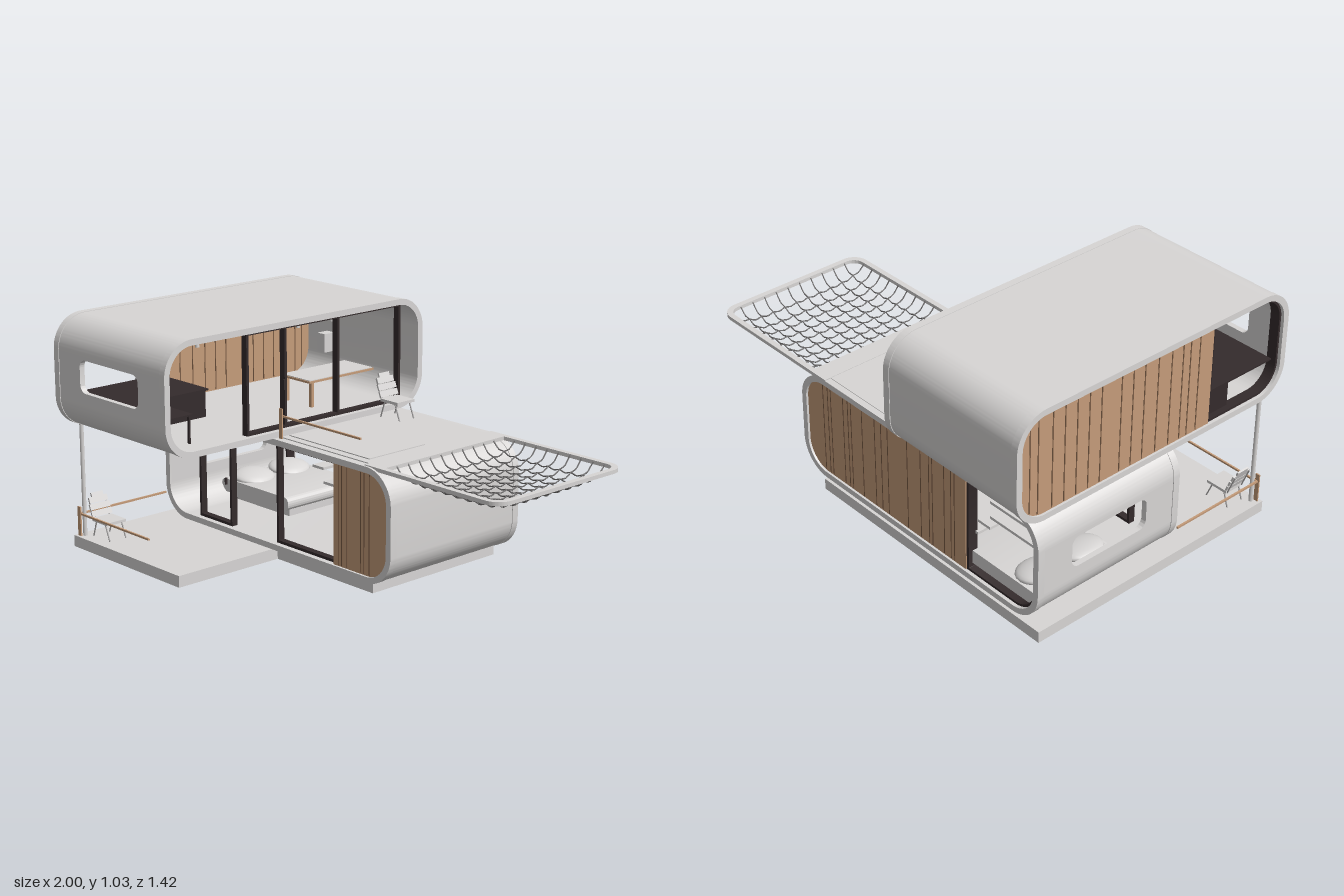
import * as THREE from 'three';
import { toCreasedNormals } from 'three/addons/utils/BufferGeometryUtils.js';

const mat = (name, color, side = THREE.FrontSide) => {
  const m = new THREE.MeshStandardMaterial({ color, side });
  m.name = name;
  return m;
};

export function createModel() {
  const grey = mat('light grey shell', 0xd8d6d5);
  const dark = mat('dark frame', 0x342b2c);
  const wood = mat('timber', 0xc59c7a);
  const groove = mat('timber groove', 0x7a5c45);
  const netGrey = mat('net cord', 0x6c6a6a);
  const steel = mat('steel', 0xa8a6a6);

  const model = new THREE.Group();
  const add = (parent, name, geo, m, x = 0, y = 0, z = 0) => {
    const mesh = new THREE.Mesh(geo, m);
    mesh.name = name;
    mesh.position.set(x, y, z);
    parent.add(mesh);
    return mesh;
  };
  // box given by its minimum and maximum corners
  const box = (parent, name, m, x0, y0, z0, x1, y1, z1) =>
    add(parent, name, new THREE.BoxGeometry(x1 - x0, y1 - y0, z1 - z0), m,
      (x0 + x1) / 2, (y0 + y1) / 2, (z0 + z1) / 2);
  const rod = (parent, name, m, a, b, r) => {
    const p = new THREE.Vector3(...a), q = new THREE.Vector3(...b);
    const mesh = add(parent, name, new THREE.CylinderGeometry(r, r, p.distanceTo(q), 8), m);
    mesh.position.copy(p).lerp(q, 0.5);
    mesh.quaternion.setFromUnitVectors(new THREE.Vector3(0, 1, 0), q.sub(p).normalize());
    return mesh;
  };
  // rounded rectangle with separate radii for the left and right corners
  const rounded = (x0, y0, x1, y1, rl, rr = rl, Type = THREE.Shape) => {
    const s = new Type(), P = Math.PI;
    s.moveTo(x0 + rl, y0);
    s.lineTo(x1 - rr, y0);
    s.absarc(x1 - rr, y0 + rr, rr, -P / 2, 0, false);
    s.lineTo(x1, y1 - rr);
    s.absarc(x1 - rr, y1 - rr, rr, 0, P / 2, false);
    s.lineTo(x0 + rl, y1);
    s.absarc(x0 + rl, y1 - rl, rl, P / 2, P, false);
    s.lineTo(x0, y0 + rl);
    s.absarc(x0 + rl, y0 + rl, rl, P, 1.5 * P, false);
    return s;
  };
  const extrude = (shape, depth) => toCreasedNormals(
    new THREE.ExtrudeGeometry(shape, { depth, bevelEnabled: false, curveSegments: 16 }), 0.5);

  const W = 0.708, H = 0.48, D = 0.37, R = 0.138, T = 0.024;

  // one rounded tube module, open to front and back, window in its left end
  function pod(name, frontWoodFrom, panes, grooves) {
    const g = new THREE.Group();
    g.name = name;
    const c = new THREE.Shape(), P = Math.PI, r = R - T;
    c.moveTo(-W, R);
    c.absarc(-W + R, R, R, P, 1.5 * P, false);
    c.absarc(W - R, R, R, -P / 2, 0, false);
    c.absarc(W - R, H - R, R, 0, P / 2, false);
    c.absarc(-W + R, H - R, R, P / 2, P, false);
    c.absarc(-W + R, H - R, r, P, P / 2, true);
    c.absarc(W - R, H - R, r, P / 2, 0, true);
    c.absarc(W - R, R, r, 0, -P / 2, true);
    c.absarc(-W + R, R, r, 1.5 * P, P, true);
    add(g, 'shell', extrude(c, 2 * D - 0.02), grey, 0, 0, -D + 0.01);

    // end wall with the rounded window opening
    const wall = new THREE.Shape();
    wall.moveTo(-D + 0.01, R);
    wall.lineTo(D - 0.01, R);
    wall.lineTo(D - 0.01, H - R);
    wall.lineTo(-D + 0.01, H - R);
    wall.holes.push(rounded(-0.195, 0.185, 0.195, 0.325, 0.035, 0.035, THREE.Path));
    const end = add(g, 'windowWall', extrude(wall, T), grey, -W, 0, 0);
    end.rotation.y = P / 2;

    // collars around both open ends
    const rim = rounded(-W - 0.003, -0.002, W + 0.003, H + 0.002, R + 0.003);
    rim.holes.push(rounded(-W + T, T, W - T, H - T, r, r, THREE.Path));
    for (const z of [-D, D - 0.032]) add(g, 'rim', extrude(rim, 0.032), grey, 0, 0, z);

    // dark frame of the rear window beside the timber wall
    const frame = rounded(-W + T, T, -0.294, H - T, r, 0.001);
    frame.holes.push(rounded(-W + T + 0.01, T + 0.01, -0.306, H - T - 0.01, r - 0.01, 0.001, THREE.Path));
    add(g, 'rearWindowFrame', extrude(frame, 0.045), dark, 0, 0, -0.355);

    // timber infill with grooves on both faces
    const timber = (u0, z) => {
      add(g, 'timberWall', extrude(rounded(u0, T, W - T, H - T, 0.001, r), 0.016), wood, 0, 0, z - 0.008);
      for (const u of grooves) {
        if (u < u0 + 0.01) continue;
        const over = Math.max(0, u - (W - R));
        const cut = T + r - Math.sqrt(r * r - over * over) + 0.005;
        box(g, 'groove', groove, u - 0.0025, cut, z - 0.0095, u + 0.0025, H - cut, z + 0.0095);
      }
    };
    timber(-0.294, -0.352);
    if (frontWoodFrom !== null) timber(frontWoodFrom, 0.352);

    // sliding door frames
    for (const [a, b] of panes) {
      for (const u of [a, b]) box(g, 'doorStile', dark, u - 0.006, T, 0.315, u + 0.006, H - T, 0.345);
      for (const y of [T, H - T - 0.012]) box(g, 'doorRail', dark, a, y, 0.315, b, y + 0.012, 0.345);
    }
    model.add(g);
    return g;
  }

  const lower = pod('lowerPod', 0.37, [[-0.5, -0.295], [0.01, 0.37]],
    [-0.23, -0.21, -0.17, -0.1, -0.08, -0.03, 0.05, 0.17, 0.21, 0.25, 0.33, 0.4, 0.42, 0.45, 0.53, 0.55, 0.58]);
  lower.position.set(-0.27, 0.056, -0.23);
  const upper = pod('upperPod', null, [[-0.265, -0.06], [-0.06, 0.235], [0.235, 0.595]],
    [-0.22, -0.17, -0.13, -0.07, 0, 0.07, 0.13, 0.19, 0.29, 0.35, 0.41, 0.47, 0.53, 0.6, 0.64]);
  upper.rotation.y = Math.PI / 2;
  upper.position.set(-0.61, 0.546, 0);

  // L-shaped ground slab
  box(model, 'slabBack', grey, -1, 0, -0.61, 0.3, 0.05, 0.1);
  box(model, 'slabFront', grey, -1, 0, 0.1, -0.28, 0.05, 0.63);

  // roof terrace
  box(model, 'terraceDeck', grey, -0.24, 0.53, -0.57, 0.28, 0.54, 0.1);
  box(model, 'terracePanel', grey, -0.24, 0.538, -0.25, 0.24, 0.544, 0.065);

  // support column and timber railings
  rod(model, 'column', grey, [-0.965, 0.05, 0.597], [-0.965, 0.55, 0.597], 0.009);
  box(model, 'railPost', wood, -0.988, 0.05, 0.611, -0.968, 0.18, 0.617);
  box(model, 'frontRail', wood, -0.98, 0.143, 0.605, -0.5, 0.151, 0.613);
  box(model, 'sideRail', wood, -0.984, 0.143, 0.145, -0.976, 0.151, 0.61);
  box(model, 'terracePost', wood, -0.24, 0.54, 0.115, -0.222, 0.668, 0.121);
  box(model, 'terraceRail', wood, -0.24, 0.63, 0.107, 0.24, 0.638, 0.115);

  // chair facing +x
  const chair = (x, y, z) => {
    const g = new THREE.Group();
    g.name = 'chair';
    g.position.set(x, y, z);
    box(g, 'seat', grey, -0.045, 0.07, -0.05, 0.06, 0.082, 0.05);
    for (const [h, w] of [[0.098, 0.052], [0.126, 0.052], [0.153, 0.047], [0.17, 0.03]]) {
      const slat = box(g, 'backSlat', grey, -0.004, -0.013, -w, 0.004, 0.013, w);
      slat.position.set(-0.04 - (h - 0.08) * 0.4, h, 0);
      slat.rotation.z = 0.38;
    }
    for (const s of [-1, 1]) {
      const k = s * 0.042;
      rod(g, 'backPost', steel, [-0.044, 0.07, k], [-0.079, 0.16, k], 0.003);
      rod(g, 'backLeg', steel, [-0.025, 0.073, k], [-0.05, 0, k], 0.003);
      rod(g, 'frontLeg', steel, [0.035, 0.073, k], [0.065, 0, k], 0.003);
    }
    model.add(g);
  };
  chair(-0.15, 0.542, -0.465);
  chair(-0.885, 0.05, 0.532);

  // hammock frame: rounded at its outer end, cantilevered from the terrace
  const netRim = rounded(0.28, -0.13, 1, 0.6, 0.001, 0.07);
  netRim.holes.push(rounded(0.375, -0.105, 0.975, 0.575, 0.001, 0.05, THREE.Path));
  const netFrame = add(model, 'netFrame', extrude(netRim, 0.016), grey, 0, 0.526, 0);
  netFrame.rotation.x = -Math.PI / 2;

  // sagging net
  const NX = 10, NZ = 11, cx = 0.675, cz = -0.235, hx = 0.3, hz = 0.34;
  const dip = (s, t) => 0.535 - 0.064 * (1 - s ** 6) * (1 - t ** 6);
  const cord = (fixed, alongX, cells) => {
    const pts = [];
    for (let i = 0; i <= cells * 4; i++) {
      const k = -1 + i / (cells * 2);
      const [s, t] = alongX ? [k, fixed] : [fixed, k];
      const scallop = 0.008 * Math.sin((i * Math.PI) / 4) ** 2;
      pts.push(new THREE.Vector3(cx + s * hx, dip(s, t) - scallop, cz + t * hz));
    }
    add(model, 'netCord', new THREE.TubeGeometry(new THREE.CatmullRomCurve3(pts), cells * 6, 0.0028, 6), netGrey);
  };
  for (let i = 1; i < NX; i++) cord(-1 + (2 * i) / NX, false, NZ);
  for (let i = 1; i < NZ; i++) cord(-1 + (2 * i) / NZ, true, NX);

  // upper room: kitchen counter, worktop, mirror, dining table, pendants
  box(model, 'counter', dark, -0.94, 0.572, 0.2, -0.62, 0.688, 0.43);
  box(model, 'counterTop', dark, -0.945, 0.688, 0.19, -0.61, 0.695, 0.5);
  box(model, 'worktop', dark, -0.945, 0.688, 0.5, -0.33, 0.695, 0.67);
  box(model, 'worktopLeg', dark, -0.35, 0.57, 0.506, -0.34, 0.69, 0.514);
  const disc = (name, m, x, r) => {
    add(model, name, new THREE.CylinderGeometry(r, r, 0.008, 40), m, x, 0.79, 0.245).rotation.z = Math.PI / 2;
  };
  disc('mirrorRim', dark, -0.93, 0.054);
  disc('mirror', grey, -0.925, 0.05);
  box(model, 'diningTable', wood, -0.62, 0.678, -0.6, -0.43, 0.687, -0.22);
  box(model, 'diningTop', grey, -0.615, 0.687, -0.595, -0.435, 0.69, -0.225);
  for (const x of [-0.61, -0.45]) box(model, 'diningLeg', wood, x, 0.57, -0.25, x + 0.015, 0.68, -0.235);
  box(model, 'wallBox', grey, -0.8, 0.7, -0.66, -0.75, 0.785, -0.6);
  for (const z of [0.585, 0.255, -0.305, -0.505]) {
    rod(model, 'pendantCord', steel, [-0.6, 0.92, z], [-0.6, 1.002, z], 0.001);
    add(model, 'pendant', new THREE.CylinderGeometry(0.007, 0.009, 0.04, 12), grey, -0.6, 0.905, z);
  }
  box(model, 'upperDoorHandle', dark, -0.25, 0.74, 0.087, -0.24, 0.785, 0.093);
  box(model, 'lowerDoorHandle', dark, -0.587, 0.265, 0.12, -0.581, 0.295, 0.13);

  // lower room: bed, shelves and stair up to the hatch
  box(model, 'bedBase', grey, -0.91, 0.08, -0.55, -0.5, 0.11, -0.16);
  add(model, 'mattress', extrude(rounded(-0.94, 0.105, -0.49, 0.165, 0.026), 0.42), grey, 0, 0, -0.565);
  for (const z of [-0.46, -0.25]) {
    const pillow = add(model, 'pillow', new THREE.SphereGeometry(1, 20, 12), grey, -0.84, 0.172, z);
    pillow.scale.set(0.09, 0.03, 0.1);
    pillow.rotation.z = -0.15;
  }
  for (const y of [0.375, 0.445]) box(model, 'shelf', grey, -0.93, y - 0.006, -0.56, -0.67, y + 0.006, -0.46);
  for (let i = 0; i < 4; i++) {
    const x = -0.66 + i * 0.07, y = 0.31 - i * 0.063;
    box(model, 'stairTread', grey, x, y - 0.006, -0.55, x + 0.07, y + 0.006, -0.38);
  }
  box(model, 'hatchBox', grey, -0.58, 0.485, -0.25, -0.44, 0.541, 0.065);

  return model;
}
